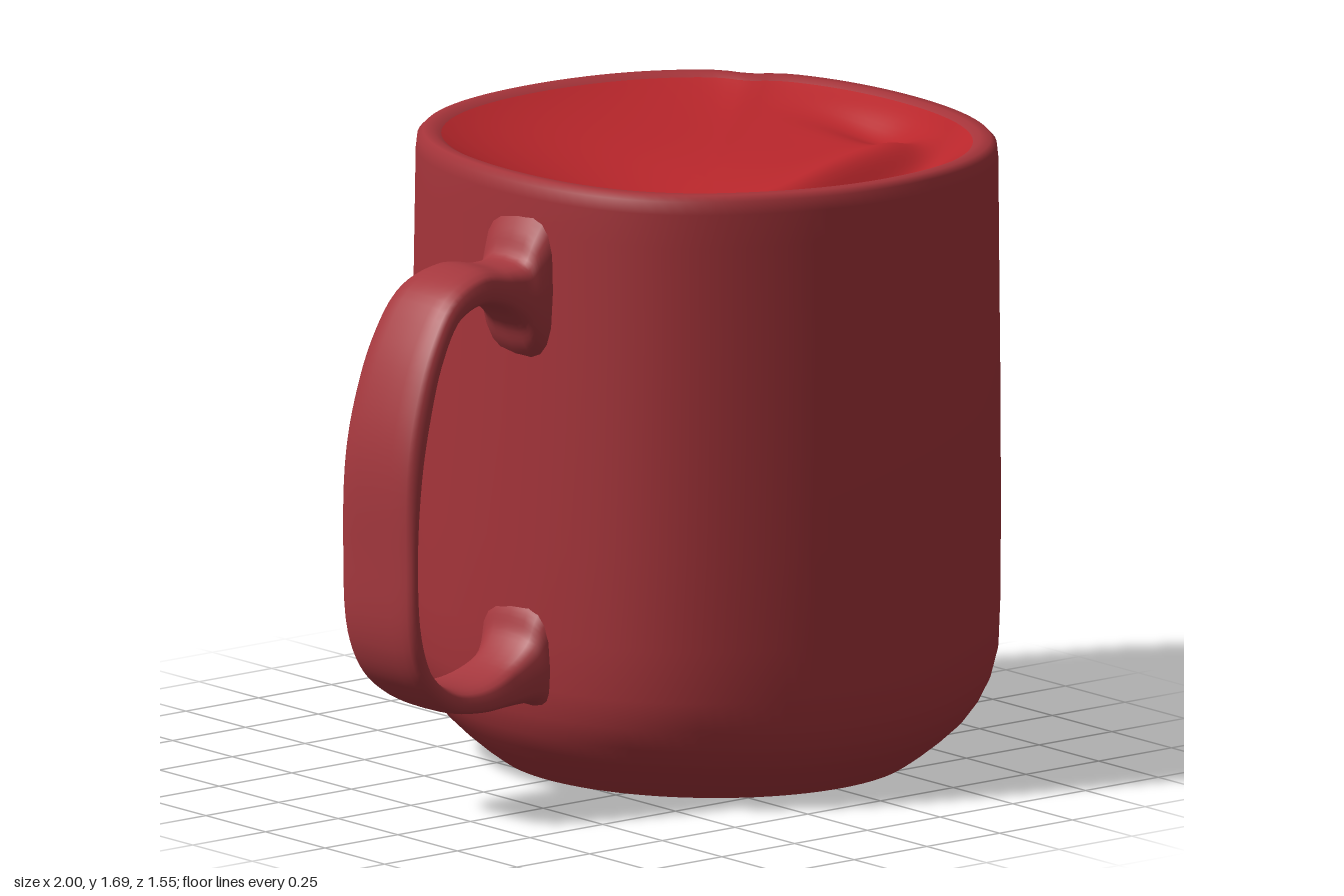
import * as THREE from 'three';
import { mergeVertices } from 'three/addons/utils/BufferGeometryUtils.js';

const CX = 0.26;         // axis of the cup
const SQUASH = 0.945;    // cup is slightly narrower across x than z

const paint = (color) => new THREE.MeshStandardMaterial({ color });
const v2 = (p) => new THREE.Vector2(p[0], p[1]);
const bump = (d, w) => Math.exp(-(d * d) / (w * w));

// Revolve a profile, then move each vertex by a rule and weld the seam
function turned(points, rule) {
  const geo = new THREE.LatheGeometry(points, 120);
  geo.deleteAttribute('uv');
  geo.deleteAttribute('normal');
  const pos = geo.attributes.position;
  const p = new THREE.Vector3();
  for (let i = 0; i < pos.count; i++) {
    p.fromBufferAttribute(pos, i);
    rule(p);
    pos.setXYZ(i, p.x * SQUASH + CX, p.y, p.z);
  }
  const welded = mergeVertices(geo, 1e-5);
  welded.computeVertexNormals();
  return welded;
}

// Uneven, hand-made outline: fuller on the diagonals, dented at the back left, leaning left
function shapeWall(p) {
  const r = Math.hypot(p.x, p.z);
  const angle = Math.atan2(p.z, p.x);
  const full = 0.045 * Math.sin(2 * angle) ** 2 - 0.03 * bump(angle - 2.1, 0.35);
  const notch = 0.04 * bump(angle + 0.7, 0.08) * Math.min(1, r / 0.6);
  const k = 1 + (full - notch) * Math.min(1, p.y / 0.3);
  p.x = p.x * k + 0.005 * p.y;
  p.z *= k;
}

// Outer wall with rounded foot and lip
function makeWall() {
  const profile = [
    [0.57, 0.005], [0.585, 0.015], [0.615, 0.037], [0.66, 0.075], [0.705, 0.12], [0.737, 0.17],
    [0.76, 0.23], [0.772, 0.31], [0.777, 0.45], [0.777, 0.7], [0.775, 1.0], [0.771, 1.3],
    [0.768, 1.55], [0.767, 1.64], [0.763, 1.675], [0.748, 1.69], [0.72, 1.69], [0.7, 1.68],
  ].map(v2);
  return turned(profile, shapeWall);
}

// Dished top surface, deeper towards the handle, with a slanting ridge and a trough before it
function makeDish() {
  const profile = [];
  for (let i = 0; i <= 40; i++) profile.push(new THREE.Vector2(0.7 * (1 - i / 40), 1.68));
  return turned(profile, (p) => {
    const radius = Math.hypot(p.x, p.z);
    const bowl = 1 - Math.pow(Math.min(1, radius / 0.7), 4);
    const depth = 0.07 + 0.08 * bump(Math.hypot(p.x + 0.3, p.z - 0.08), 0.4);
    const across = p.z - 0.42 + 0.25 * p.x;
    const ridge = bump(across, 0.12) * bump(p.x - 0.2, 0.5);
    const trough = bump(across - 0.13, 0.08) * bump(p.x - 0.1, 0.45);
    const moat = bump(radius - 0.57, 0.07) * bump(Math.atan2(p.z, p.x) - 0.2, 0.45);
    p.y -= bowl * (depth - 0.07 * ridge + 0.1 * trough + 0.06 * moat);
    shapeWall(p);
  });
}

// Handle: rounded sections swept between an outer and an inner curve
function makeHandle() {
  const curve = (pts) => new THREE.CatmullRomCurve3(pts.map(([x, y]) => new THREE.Vector3(x, y, 0)));
  const outer = curve([
    [-0.41, 1.66], [-0.475, 1.55], [-0.51, 1.485], [-0.57, 1.472], [-0.68, 1.487], [-0.81, 1.44],
    [-0.9, 1.32], [-0.965, 1.16], [-0.997, 1.0], [-1.0, 0.76], [-0.985, 0.5], [-0.93, 0.385],
    [-0.82, 0.305], [-0.67, 0.275], [-0.55, 0.272], [-0.46, 0.262], [-0.42, 0.22], [-0.37, 0.16]]);
  const inner = curve([
    [-0.41, 1.15], [-0.475, 1.23], [-0.51, 1.3], [-0.58, 1.357], [-0.68, 1.385], [-0.78, 1.355],
    [-0.85, 1.25], [-0.9, 1.09], [-0.93, 0.95], [-0.95, 0.75], [-0.935, 0.55], [-0.885, 0.43],
    [-0.8, 0.37], [-0.69, 0.355], [-0.58, 0.385], [-0.5, 0.45], [-0.47, 0.52], [-0.41, 0.6]]);
  const steps = 90, sides = 20;
  const verts = [], index = [];
  const soft = (t) => Math.sign(t) * Math.pow(Math.abs(t), 0.65);
  for (let i = 0; i <= steps; i++) {
    const a = outer.getPoint(i / steps), b = inner.getPoint(i / steps);
    const mid = a.clone().add(b).multiplyScalar(0.5);
    const half = a.clone().sub(b).multiplyScalar(0.5);
    // the strap widens and drifts forward away from the cup, and flares at the joints
    const out = THREE.MathUtils.clamp((-0.55 - mid.x) / 0.43, 0, 1);
    const flare = THREE.MathUtils.smoothstep(mid.x, -0.54, -0.42);
    const width = 0.102 + 0.046 * out + 0.04 * flare;
    const z = 0.107 + 0.041 * out - 0.03 * flare;
    for (let j = 0; j < sides; j++) {
      const t = (j / sides) * Math.PI * 2;
      const c = soft(Math.cos(t));
      verts.push(mid.x + half.x * c, mid.y + half.y * c, z + width * soft(Math.sin(t)));
      if (i === steps) continue;
      const p = i * sides + j, q = i * sides + ((j + 1) % sides);
      index.push(p, p + sides, q, q, p + sides, q + sides);
    }
  }
  const geo = new THREE.BufferGeometry();
  geo.setAttribute('position', new THREE.Float32BufferAttribute(verts, 3));
  geo.setIndex(index);
  geo.computeVertexNormals();
  return geo;
}

export function createModel() {
  const group = new THREE.Group();
  group.name = 'mug';
  const add = (name, geo, material) => {
    const mesh = new THREE.Mesh(geo, material);
    mesh.name = name;
    group.add(mesh);
    return mesh;
  };
  const handleRed = paint(0xa5383e);
  handleRed.side = THREE.DoubleSide;

  add('wall', makeWall(), paint(0xa5343a));
  add('dishedTop', makeDish(), paint(0xb8262b));
  add('handle', makeHandle(), handleRed);

  // Unglazed underside
  const base = add('base', new THREE.CircleGeometry(0.572, 120), paint(0x9a9590));
  base.rotation.x = Math.PI / 2;
  base.scale.x = SQUASH;
  base.position.set(CX, 0.004, 0);
  return group;
}
